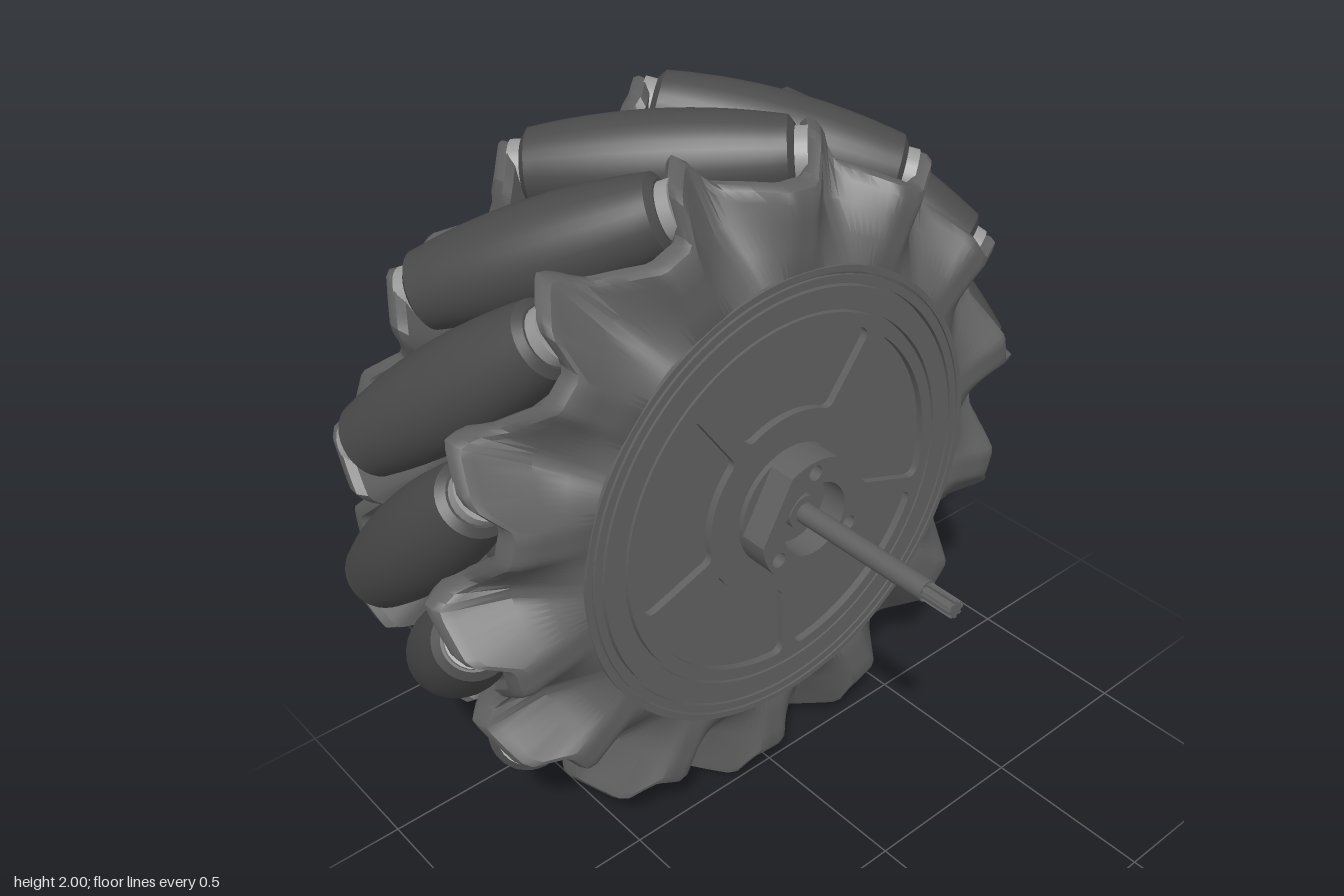
import * as THREE from 'three';
import { toCreasedNormals } from 'three/addons/utils/BufferGeometryUtils.js';

const N = 14, STEP = (Math.PI * 2) / N, RAD = Math.PI / 180;
const PHI = 96 * RAD;          // angle of the first roller's middle
const AXIS_R = 0.87;           // roller axis distance from the wheel axis
const PEAK = 86.5 * RAD;       // angle of a flange fold crest

const paint = (color, extra = {}) => new THREE.MeshStandardMaterial({ color, roughness: 0.8, ...extra });
const hubMat = paint(0x606060), rollerMat = paint(0x4a4a4a), bushMat = paint(0x999999);
const darkMat = paint(0x2c2c2c), wallMat = paint(0x606060, { side: THREE.DoubleSide, flatShading: true });

function add(parent, name, geo, mat) {
  const m = new THREE.Mesh(geo, mat);
  m.name = name;
  parent.add(m);
  return m;
}

// cylinder lying along z between two z values
function rod(r, z0, z1, sides = 48) {
  return new THREE.CylinderGeometry(r, r, z1 - z0, sides).rotateX(Math.PI / 2).translate(0, 0, (z0 + z1) / 2);
}

const circle = (r, x = 0, y = 0) => new THREE.Path().absarc(x, y, r, 0, Math.PI * 2, true);
const disc = (r) => new THREE.Shape().absarc(0, 0, r, 0, Math.PI * 2);

function plate(shape, holes, z0, z1) {
  shape.holes = holes;
  return new THREE.ExtrudeGeometry(shape, { depth: z1 - z0, bevelEnabled: false, curveSegments: 48 }).translate(0, 0, z0);
}

// rounded sector outline used for the pockets of the face plate
function pocket(a, r0, r1) {
  const h = 36 * RAD, i = 0.025 / r0, o = 0.025 / r1, c = 0.03;
  const at = (r, t) => [r * Math.cos(a + t), r * Math.sin(a + t)];
  const p = new THREE.Path();
  p.absarc(0, 0, r1, a - h + o + c / r1, a + h - o - c / r1, false);
  p.quadraticCurveTo(...at(r1, h - o), ...at(r1 - c, h - o));
  p.lineTo(...at(r0 + c, h - i));
  p.quadraticCurveTo(...at(r0, h - i), ...at(r0, h - i - c / r0));
  p.absarc(0, 0, r0, a + h - i - c / r0, a - h + i + c / r0, true);
  p.quadraticCurveTo(...at(r0, -h + i), ...at(r0 + c, -h + i));
  p.lineTo(...at(r1 - c, -h + o));
  p.quadraticCurveTo(...at(r1, -h + o), ...at(r1, -h + o + c / r1));
  return p;
}

// pleated flange: a cross-section swept round the axis; fold depth and rim radius vary with the angle
function flangeGeometry(baseR, baseZ) {
  const per = 24, count = N * per, pos = [], index = [];
  const { clamp, lerp, smoothstep } = THREE.MathUtils;
  let rows = 0;
  for (let i = 0; i < count; i++) {
    const a = PEAK + (i / per) * STEP;
    const u = (i % per) / per, v = 2 * Math.min(u, 1 - u);
    const d = clamp((v - 0.22) / 0.68, 0, 1);
    // the rim rises into a tab in front of each roller end
    const R = 0.885 + 0.09 * smoothstep(u, 0.36, 0.56) * (1 - smoothstep(u, 0.76, 0.9));
    const z = (r) => lerp(baseZ, 0.38 - 0.16 * d, clamp((r - baseR) / (0.86 - baseR), 0, 1));
    const section = [
      [baseR - 0.03, baseZ - 0.01], [baseR, baseZ], [0.73, z(0.73)], [0.8, z(0.8)], [R - 0.035, z(R - 0.035)],
      [R - 0.01, z(R) - 0.012], [R, z(R) - 0.035], [R, z(R) - 0.065],
      [R - 0.02, z(R) - 0.085], [0.76, z(0.76) - 0.085], [0.58, 0.25],
    ];
    rows = section.length;
    for (const [r, h] of section) pos.push(r * Math.cos(a), r * Math.sin(a), h);
  }
  for (let i = 0; i < count; i++) {
    const j = (i + 1) % count;
    for (let k = 0; k < rows; k++) {
      const l = (k + 1) % rows;
      const A = i * rows + k, B = i * rows + l, C = j * rows + l, D = j * rows + k;
      index.push(A, B, C, A, C, D);
    }
  }
  const g = new THREE.BufferGeometry();
  g.setAttribute('position', new THREE.Float32BufferAttribute(pos, 3));
  g.setIndex(index);
  return toCreasedNormals(g, 0.6);
}

function buildRollers(wheel) {
  // barrel whose outer line stays on the wheel's rolling circle
  const half = 0.335, profile = [new THREE.Vector2(0, -half), new THREE.Vector2(0.08, -half)];
  for (let i = 0; i <= 16; i++) {
    const s = (i / 8 - 1) * (half - 0.015);
    profile.push(new THREE.Vector2(1 - Math.hypot(AXIS_R, s * Math.SQRT1_2), s));
  }
  profile.push(new THREE.Vector2(0.08, half), new THREE.Vector2(0, half));
  const barrel = toCreasedNormals(new THREE.LatheGeometry(profile, 32), 0.6);
  const bush = new THREE.CylinderGeometry(0.074, 0.074, 0.735, 24);
  for (let i = 0; i < N; i++) {
    const a = PHI + i * STEP, roller = new THREE.Group();
    roller.name = 'roller';
    roller.position.set(AXIS_R * Math.cos(a), AXIS_R * Math.sin(a), 0);
    const dir = new THREE.Vector3(Math.sin(a), -Math.cos(a), 1).normalize();
    roller.quaternion.setFromUnitVectors(new THREE.Vector3(0, 1, 0), dir);
    add(roller, 'rollerBarrel', barrel, rollerMat);
    add(roller, 'rollerBushing', bush, bushMat);
    wheel.add(roller);
  }
}

function buildFlanges(wheel) {
  add(wheel, 'frontFlange', flangeGeometry(0.655, 0.38), hubMat);
  // the back flange is the same folding turned over, dished towards a sunken cover
  const back = new THREE.Group();
  back.name = 'backFlange';
  back.quaternion.setFromAxisAngle(new THREE.Vector3(Math.cos(PHI), Math.sin(PHI), 0), Math.PI);
  add(back, 'backFlangeShell', flangeGeometry(0.595, 0.33), hubMat);
  // screw holes in every other fold
  for (let i = 1; i < N; i += 2) {
    const a = PEAK + (0.1 + i - 1) * STEP, r = 0.73;
    const hole = add(back, 'screwHole', new THREE.CylinderGeometry(0.035, 0.035, 0.02, 20), darkMat);
    hole.position.set(r * Math.cos(a), r * Math.sin(a), 0.348);
    hole.quaternion.setFromUnitVectors(new THREE.Vector3(0, 1, 0),
      new THREE.Vector3(-0.19 * Math.cos(a), -0.19 * Math.sin(a), 1).normalize());
  }
  wheel.add(back);
}

function buildFace(wheel) {
  add(wheel, 'core', rod(0.62, -0.275, 0.362, 64), hubMat);
  // front plate with five pockets, and raised rings round it
  const pockets = [];
  for (let i = 0; i < 5; i++) pockets.push(pocket((90 + 72 * i) * RAD, 0.275, 0.505));
  add(wheel, 'facePlate', plate(disc(0.54), pockets, 0.355, 0.384), hubMat);
  for (const [r0, r1] of [[0.548, 0.61], [0.618, 0.64], [0.648, 0.665]])
    add(wheel, 'faceRing', plate(disc(r1), [circle(r0)], 0.35, 0.384), hubMat);
}

function buildBack(wheel) {
  // cover with a triangular recess, sloping walls and three bolts
  const corners = [270, 150, 30].map((d) => new THREE.Vector2(0.575 * Math.cos(d * RAD), 0.575 * Math.sin(d * RAD)));
  add(wheel, 'backCover', plate(disc(0.6), [new THREE.Path(corners)], -0.334, -0.265), hubMat);
  const walls = new THREE.CylinderGeometry(0.52, 0.575, 0.059, 3, 1, true).rotateX(Math.PI / 2).translate(0, 0, -0.3045);
  add(wheel, 'recessWalls', walls, wallMat);
  for (const d of [30, 150, 270]) {
    const hex = [];
    for (let k = 0; k < 6; k++) hex.push(new THREE.Vector2(0.024 * Math.cos(-k * 60 * RAD), 0.024 * Math.sin(-k * 60 * RAD)));
    const bolt = new THREE.Group();
    bolt.name = 'backBolt';
    bolt.position.set(0.265 * Math.cos(d * RAD), 0.265 * Math.sin(d * RAD), 0);
    add(bolt, 'boltSeat', rod(0.054, -0.278, -0.27, 24), darkMat);
    add(bolt, 'boltHead', plate(disc(0.043), [new THREE.Path(hex)], -0.285, -0.275), hubMat);
    wheel.add(bolt);
  }
}

function buildAxle(wheel) {
  // coupling with three flats and three screw holes
  const outline = [];
  for (let i = 0; i < 96; i++) {
    const a = (i / 96) * Math.PI * 2;
    const t = ((a - 30 * RAD + Math.PI * 3) % (120 * RAD)) - 60 * RAD;
    const r = Math.min(0.18, 0.15 / Math.cos(t));
    outline.push(new THREE.Vector2(r * Math.cos(a), r * Math.sin(a)));
  }
  const holes = [90, 210, 330].map((d) => circle(0.022, 0.145 * Math.cos(d * RAD), 0.145 * Math.sin(d * RAD)));
  add(wheel, 'couplingBase', rod(0.18, 0.37, 0.4), hubMat);
  add(wheel, 'coupling', plate(new THREE.Shape(outline), [circle(0.108), ...holes], 0.395, 0.48), hubMat);
  add(wheel, 'couplingHub', rod(0.05, 0.4, 0.44, 24), hubMat);
  add(wheel, 'shaft', rod(0.029, 0.38, 0.885, 24), hubMat);
  // splined shaft end
  add(wheel, 'splineCore', rod(0.019, 0.88, 0.98, 16), hubMat);
  for (let i = 0; i < 8; i++) {
    const tooth = new THREE.BoxGeometry(0.01, 0.009, 0.1).translate(0.02, 0, 0.93).rotateZ(i * 45 * RAD);
    add(wheel, 'splineTooth', tooth, hubMat);
  }
}

export function createModel() {
  const model = new THREE.Group();
  model.name = 'rollerWheel';
  const wheel = new THREE.Group();
  wheel.name = 'wheel';
  wheel.position.set(0, 1, -0.3);
  buildRollers(wheel);
  buildFlanges(wheel);
  buildFace(wheel);
  buildBack(wheel);
  buildAxle(wheel);
  model.add(wheel);
  return model;
}
